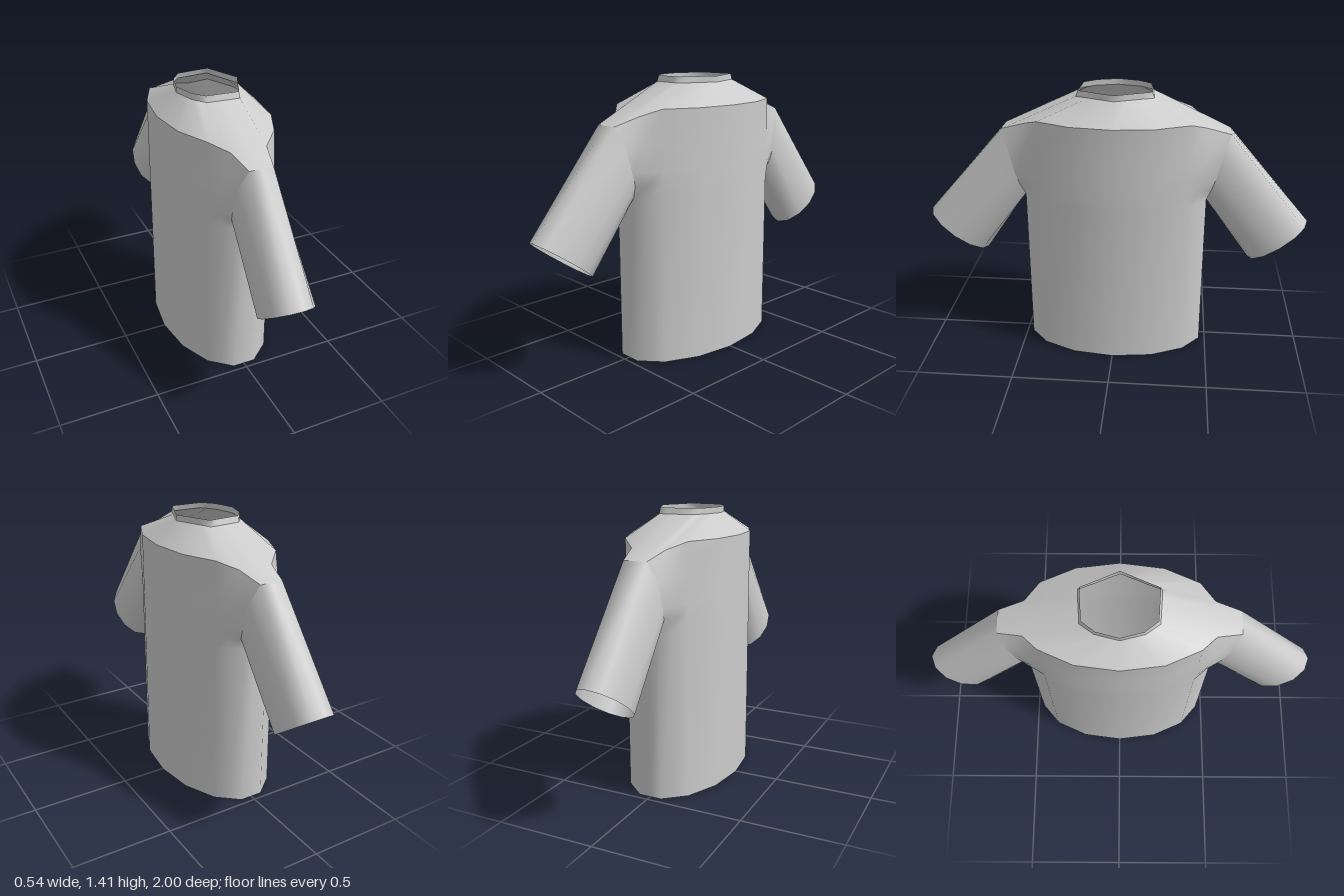
import * as THREE from 'three';
import { mergeGeometries, mergeVertices } from 'three/addons/utils/BufferGeometryUtils.js';

// Skin a grid of points: rows run upward or outward, columns counterclockwise.
function skin(rows) {
  const n = rows[0].length, index = [];
  for (let r = 0; r < rows.length - 1; r++) {
    for (let c = 0; c < n - 1; c++) {
      const a = r * n + c, b = a + 1, d = a + n, e = d + 1;
      index.push(a, b, e, a, e, d);
    }
  }
  const g = new THREE.BufferGeometry();
  g.setAttribute('position', new THREE.Float32BufferAttribute(rows.flat(2), 3));
  g.setIndex(index);
  return g;
}

const material = new THREE.MeshStandardMaterial({ color: 0xcccccc, side: THREE.DoubleSide });

function part(name, ...geometries) {
  const g = mergeVertices(mergeGeometries(geometries), 1e-4);
  g.computeVertexNormals();
  const mesh = new THREE.Mesh(g, material);
  mesh.name = name;
  return mesh;
}

const flipZ = ([x, y, z]) => [x, y, -z];
const flipX = ([x, y, z]) => [-x, y, z];

// Closed ring from its +x and -x quadrants, each listed from the middle to the sleeve side.
function ring(p, m) {
  return [
    ...[...p].reverse(), ...p.slice(1).map(flipZ),
    ...[...m].reverse().slice(1).map(flipZ), ...m.slice(1),
  ];
}

// Half armhole on the +z side, from the shoulder down to the armpit
const armhole = [
  [0, 1.2, 0.578], [0.06, 1.2, 0.575], [0.1, 1.1, 0.54], [0.105, 0.98, 0.51],
  [0.1, 0.92, 0.49], [0.06, 0.85, 0.468], [0, 0.85, 0.468],
];

// Oval body column (14 sides)
const column = (k, y) => {
  const a = (k * Math.PI * 2) / 14;
  return [0.27 * Math.cos(a), y, 0.48 * Math.sin(a)];
};
const shoulder = [0.09, 1.24, 0.45];
const SEAM = 1.275;

function torso() {
  const edges = [[0.06, 0, 0.468], armhole[5], armhole[4], armhole[3], armhole[2], armhole[1]];
  const rows = edges.map((edge, i) => {
    const y = i === 5 ? SEAM : edge[1];
    const c2 = column(2, y);
    const mid = i === 5 ? shoulder : edge.map((v, j) => (v + c2[j]) / 2);
    const half = [edge, mid, c2, column(1, y)];
    return [...half, column(0, y), ...[...half].reverse().map(flipZ)];
  });
  // Narrow panel below the armpit
  const side = [0, 0.85].map((y) => [-0.06, 0, 0.06].map((x) => [x, y, 0.468]));
  const panels = [skin(rows), skin(side)];
  return part('torso', ...panels, ...panels.map((g) => g.clone().rotateY(Math.PI)));
}

function sleeve(name) {
  const start = [...armhole.map(flipX), ...armhole.slice(0, -1).reverse()];
  const cuff = start.map((_, i) => {
    const a = (i * Math.PI) / 6, c = Math.cos(a);
    return [-0.12 * Math.sin(a), 0.61 + 0.11 * c, 0.8525 + 0.1475 * c];
  });
  return part(name, skin([start, cuff]));
}

// Neck opening quadrants as [x, z]
const neckPlus = [[0.16, 0], [0.133, 0.062], [0.106, 0.123], [0.08, 0.185], [0.04, 0.183], [0, 0.18]];
const neckMinus = [[-0.165, 0], [-0.15, 0.055], [-0.135, 0.11], [-0.11, 0.143], [-0.085, 0.175], [0, 0.18]];
const neck = (y, s) => ring(...[neckPlus, neckMinus].map((q) => q.map(([x, z]) => [x, y, z * s])));

export function createModel() {
  const shirt = new THREE.Group();
  shirt.name = 'shirt';
  shirt.add(torso());

  // Shoulder yoke between the seam and the neck
  const seam = [column(0, SEAM), column(1, SEAM), column(2, SEAM), shoulder, armhole[1], armhole[0]];
  const base = neck(1.38, 1.04);
  shirt.add(part('yoke', skin([ring(seam, seam.map(flipX)), base])));
  shirt.add(part('collar', skin([base, neck(1.41, 0.98)])));

  // Sleeves
  shirt.add(sleeve('frontSleeve'));
  const back = sleeve('backSleeve');
  back.rotation.y = Math.PI;
  shirt.add(back);
  return shirt;
}
